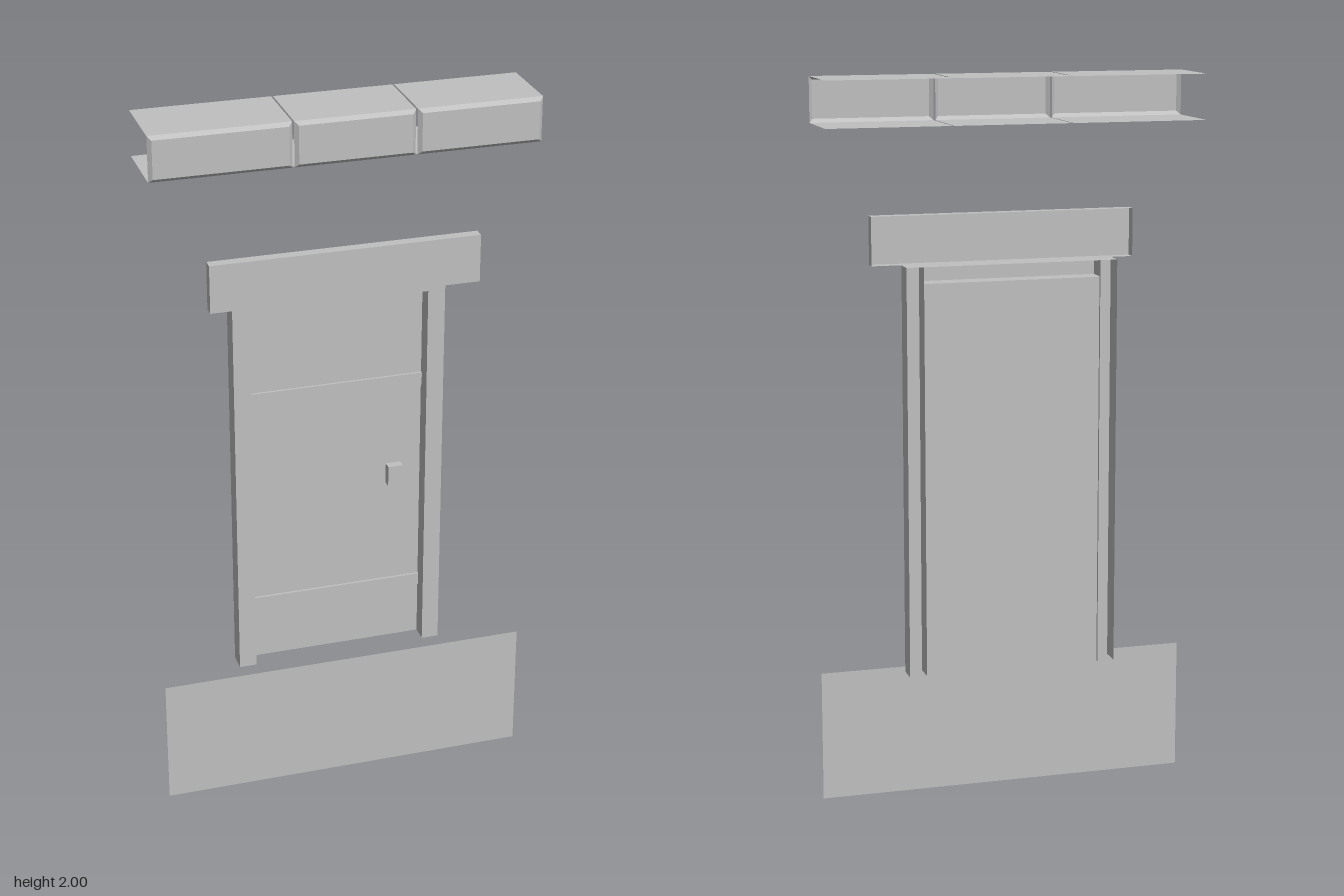
import * as THREE from 'three';

const grey = new THREE.MeshStandardMaterial({ color: 0xc0c0c0, side: THREE.DoubleSide });
grey.name = 'plain grey';

// Face order of a box: +x, -x, +y, -y, +z, -z
const FACES = ['+x', '-x', '+y', '-y', '+z', '-z'];

// Box between two bounds, leaving out the listed faces
function shell(name, [x0, x1], [y0, y1], [z0, z1], open = []) {
  const geo = new THREE.BoxGeometry(x1 - x0, y1 - y0, z1 - z0);
  const index = Array.from(geo.index.array);
  geo.setIndex(index.filter((_, i) => !open.includes(FACES[Math.floor(i / 6)])));
  geo.clearGroups();
  geo.translate((x0 + x1) / 2, (y0 + y1) / 2, (z0 + z1) / 2);
  const mesh = new THREE.Mesh(geo, grey);
  mesh.name = name;
  return mesh;
}

// Shrinks the front face of a box to give it bevelled edges
function bevelFront(mesh, inset) {
  const geo = mesh.geometry;
  geo.computeBoundingBox();
  const { min, max } = geo.boundingBox;
  const p = geo.attributes.position;
  for (let i = 0; i < p.count; i++) {
    if (p.getZ(i) < max.z - 1e-4) continue;
    p.setX(i, p.getX(i) < (min.x + max.x) / 2 ? min.x + inset : max.x - inset);
    p.setY(i, p.getY(i) < (min.y + max.y) / 2 ? min.y + inset : max.y - inset);
  }
  geo.computeVertexNormals();
  return mesh;
}

export function createModel() {
  const model = new THREE.Group();
  model.name = 'doorway';

  // Flat wall panel below the door
  const base = new THREE.Mesh(new THREE.PlaneGeometry(1.044, 0.365), grey);
  base.name = 'basePanel';
  base.position.set(0, 0.1825, 0.062);
  model.add(base);

  // Door frame, hollow at the back
  const frame = new THREE.Group();
  frame.name = 'doorFrame';
  const depth = [-0.04, 0.016];
  frame.add(
    shell('leftJamb', [0.247, 0.295], [0.365, 1.5], depth, ['-y', '-z']),
    shell('rightJamb', [-0.295, -0.247], [0.365, 1.5], depth, ['-y', '-z']),
    shell('header', [-0.247, 0.247], [1.455, 1.5], depth, ['+x', '-x', '-z'])
  );
  model.add(frame);

  // Door leaf with two shallow rails and a handle plate
  const door = new THREE.Group();
  door.name = 'door';
  const leaf = new THREE.Mesh(new THREE.PlaneGeometry(0.494, 1.09), grey);
  leaf.name = 'doorLeaf';
  leaf.position.set(0, 0.91, -0.032);
  door.add(leaf);
  for (const y of [0.54, 1.177]) {
    door.add(shell('doorRail', [-0.247, 0.247], [y - 0.018, y + 0.018], [-0.032, -0.025], ['-z', '+x', '-x']));
  }
  door.add(shell('handle', [0.148, 0.19], [0.865, 0.925], [-0.032, -0.008], ['-z']));
  model.add(door);

  // Board above the door, open at the back
  model.add(shell('lintelBoard', [-0.369, 0.369], [1.495, 1.628], [0.05, 0.08], ['-z']));

  // Canopy of three sections: bevelled fascia with thin top and bottom sheets
  const canopy = new THREE.Group();
  canopy.name = 'canopy';
  for (const [x0, x1] of [[-0.522, -0.149], [-0.144, 0.178], [0.183, 0.522]]) {
    canopy.add(bevelFront(shell('fascia', [x0, x1], [1.877, 2], [0.095, 0.105], ['-z']), 0.01));
    for (const [name, y] of [['canopyTop', 2], ['canopyBottom', 1.877]]) {
      const sheet = new THREE.Mesh(new THREE.PlaneGeometry(x1 - x0, 0.2), grey);
      sheet.name = name;
      sheet.rotation.x = name === 'canopyTop' ? -Math.PI / 2 : Math.PI / 2;
      sheet.position.set((x0 + x1) / 2, y, -0.005);
      canopy.add(sheet);
    }
  }
  model.add(canopy);

  return model;
}
